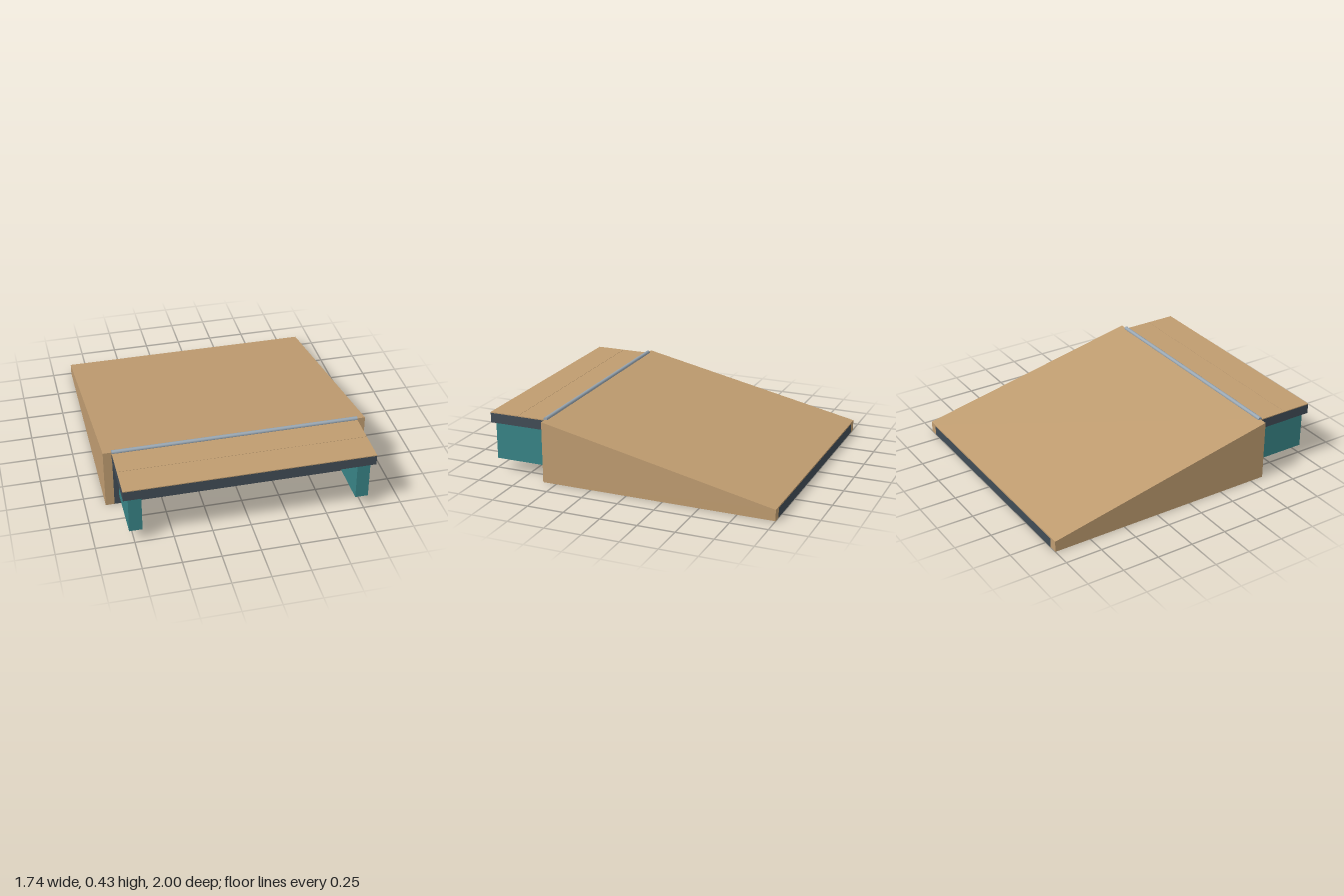
import * as THREE from 'three';

const mat = (name, color) => {
  const m = new THREE.MeshStandardMaterial({ color });
  m.name = name;
  return m;
};

const FRONT = 0.595, BACK = -1, HIGH = 0.415, LOW = 0.075;

// Extrudes a side profile of [z, y] points between two x positions
function sideExtrude(points, x0, x1) {
  const shape = new THREE.Shape(points.map(([z, y]) => new THREE.Vector2(-z, y)));
  const geo = new THREE.ExtrudeGeometry(shape, { depth: x1 - x0, bevelEnabled: false });
  return geo.rotateY(Math.PI / 2).translate(x0, 0, 0);
}

export function createModel() {
  const group = new THREE.Group();
  const wood = mat('plywood', 0xbf9c70);
  const dark = mat('dark frame', 0x414c56);
  const teal = mat('teal paint', 0x388486);
  const steel = mat('steel', 0x97a5b1);

  const add = (name, geo, material) => {
    const mesh = new THREE.Mesh(geo, material);
    mesh.name = name;
    group.add(mesh);
    return mesh;
  };
  const box = (name, material, x0, x1, y0, y1, z0, z1) =>
    add(name, new THREE.BoxGeometry(x1 - x0, y1 - y0, z1 - z0)
      .translate((x0 + x1) / 2, (y0 + y1) / 2, (z0 + z1) / 2), material);

  // Sloped core and the riding surface lying on it
  const skin = 0.01;
  add('rampCore', sideExtrude(
    [[FRONT, 0], [BACK, 0], [BACK, LOW - skin], [FRONT, HIGH - skin]], -0.81, 0.81), dark);
  add('rampSurface', sideExtrude(
    [[FRONT, HIGH - skin], [BACK, LOW - skin], [BACK, LOW], [FRONT, HIGH]], -0.81, 0.81), wood);

  // Side panels and platform legs, mirrored
  for (const s of [-1, 1]) {
    const x = [0.81 * s, 0.868 * s].sort((a, b) => a - b);
    add('sidePanel', sideExtrude(
      [[FRONT, 0], [BACK, 0], [BACK, LOW], [FRONT, HIGH]], x[0], x[1]), wood);
    const l = [0.695 * s, 0.78 * s].sort((a, b) => a - b);
    box('platformLeg', teal, l[0], l[1], 0.08, 0.34, 0.618, 0.98);
  }

  // Platform frame with two planks on top
  box('platformFrame', dark, -0.812, 0.812, 0.34, 0.406, FRONT, 1);
  for (const [z0, z1] of [[FRONT, 0.796], [0.798, 1]]) {
    box('platformPlank', wood, -0.812, 0.812, 0.406, 0.412, z0, z1);
  }

  // Steel coping along the lip
  const coping = add('coping', new THREE.CylinderGeometry(0.014, 0.014, 1.624, 16), steel);
  coping.rotation.z = Math.PI / 2;
  coping.position.set(0, 0.416, 0.594);

  return group;
}
